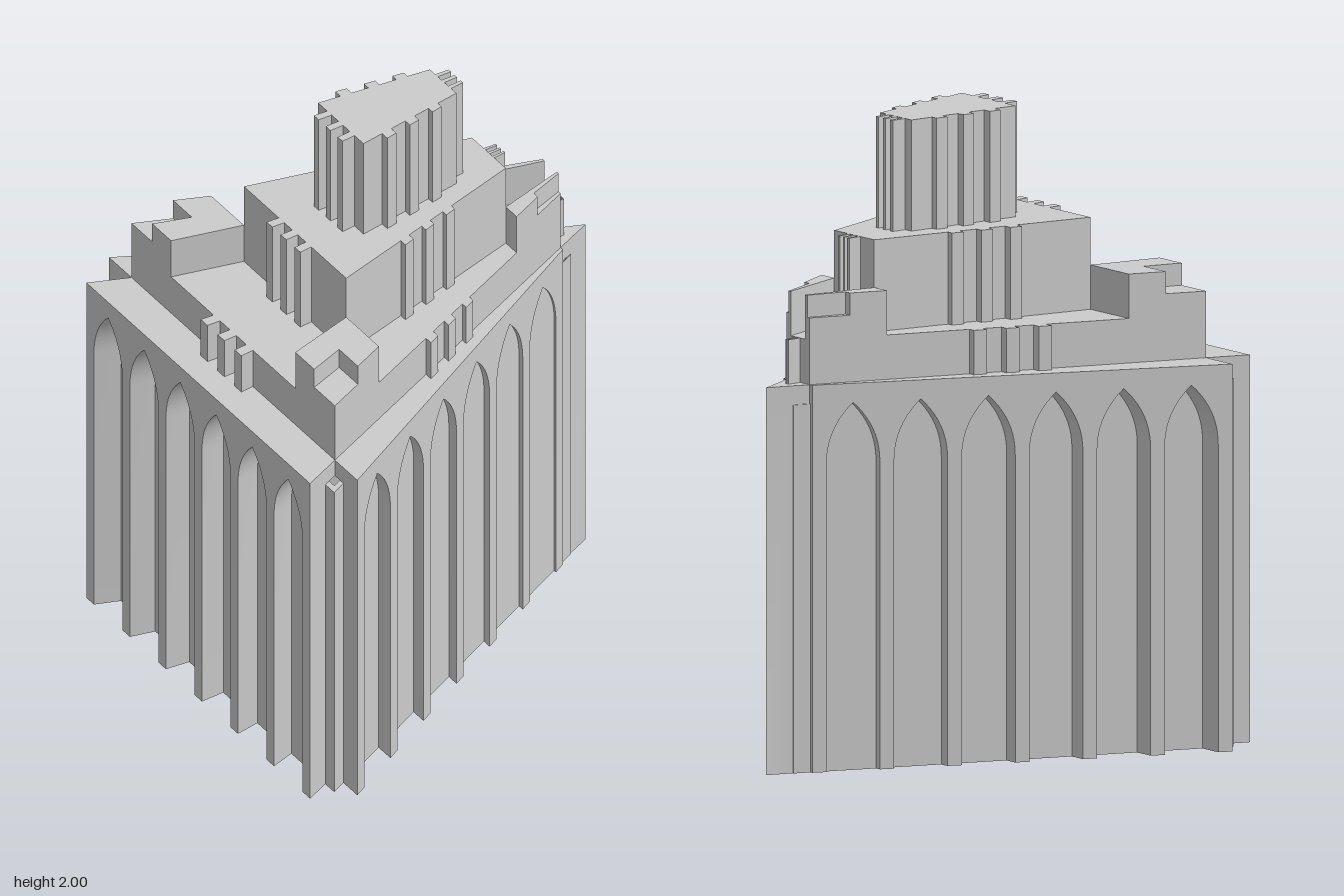
import * as THREE from 'three';
import { toCreasedNormals } from 'three/addons/utils/BufferGeometryUtils.js';

const material = new THREE.MeshStandardMaterial({ color: 0xcccccc });

// The tower is laid out on a square plan, then narrowed towards +x into a wedge.
function taper(geometry) {
  const p = geometry.attributes.position;
  for (let i = 0; i < p.count; i++) p.setZ(i, p.getZ(i) * 0.725 * Math.max(0.718 - p.getX(i), 0));
  return toCreasedNormals(geometry, 0.5);
}

// Box given by its bounds.
function block(x0, x1, y0, y1, z0, z1) {
  return new THREE.BoxGeometry(x1 - x0, y1 - y0, z1 - z0)
    .translate((x0 + x1) / 2, (y0 + y1) / 2, (z0 + z1) / 2);
}

// Plan outline (x, z) raised from y0 to y1.
function raise(shape, y0, y1) {
  return new THREE.ExtrudeGeometry(shape, { depth: y1 - y0, bevelEnabled: false })
    .rotateX(-Math.PI / 2).translate(0, y0, 0);
}

function squareOutline(h, Type = THREE.Shape) {
  return new Type([[-h, -h], [h, -h], [h, h], [-h, h]].map(([x, y]) => new THREE.Vector2(x, y)));
}

// Wall panel with six pointed arches open at the foot.
function arcade() {
  const s = new THREE.Shape();
  const half = 0.075, spring = 0.97, top = 1.16;
  s.moveTo(-0.59, 0);
  for (let i = 0; i < 6; i++) {
    const c = (i - 2.5) * 0.19;
    s.lineTo(c - half, 0);
    s.lineTo(c - half, spring);
    s.quadraticCurveTo(c - half, spring + 0.11, c, top);
    s.quadraticCurveTo(c + half, spring + 0.11, c + half, spring);
    s.lineTo(c + half, 0);
  }
  s.lineTo(0.59, 0);
  s.lineTo(0.59, 1.22);
  s.lineTo(-0.59, 1.22);
  return new THREE.ExtrudeGeometry(s, { depth: 0.08, bevelEnabled: false, curveSegments: 10 })
    .translate(0, 0, 0.64);
}

// L-shaped corner turret, high along the inner edges.
function turret() {
  const pts = [[0.36, 0.36], [0.59, 0.36], [0.59, 0.47], [0.47, 0.47], [0.47, 0.59], [0.36, 0.59]];
  return raise(new THREE.Shape(pts.map(([x, y]) => new THREE.Vector2(x, y))), 1.36, 1.5);
}

export function createModel() {
  const model = new THREE.Group();
  const add = (name, geometry, turn = 0) => {
    const mesh = new THREE.Mesh(taper(geometry.rotateY(turn * Math.PI / 2)), material);
    mesh.name = name;
    model.add(mesh);
  };

  // Hollow core behind the arches
  const core = squareOutline(0.64);
  core.holes.push(squareOutline(0.62, THREE.Path));
  add('coreWalls', raise(core, 0, 1.16));
  for (const turn of [0, 1]) add('terrace', block(-0.59, 0.59, 1.16, 1.22, -0.64, 0.64), turn);

  // Stepped tiers: half width, foot, top, reach of ribs
  const tiers = [
    ['lowerTier', 0.59, 1.22, 1.36, 0.635],
    ['middleTier', 0.36, 1.36, 1.65, 0.403],
    ['topTower', 0.19, 1.65, 2, 0.237],
  ];
  for (const [name, h, y0, y1] of tiers) add(name, block(-h, h, y0, y1, -h, h));

  // Everything repeated on the four sides and corners
  for (let turn = 0; turn < 4; turn++) {
    add('archedWall', arcade(), turn);
    for (const [name, h, y0, y1, reach] of tiers) {
      for (const c of [-0.095, 0, 0.095]) {
        add(name + 'Rib', block(c - 0.019, c + 0.019, y0, y1, h - 0.01, reach), turn);
      }
    }
    add('cornerTurret', turret(), turn);
    add('cornerStep', block(0.47, 0.59, 1.36, 1.43, 0.47, 0.59), turn);
  }
  return model;
}
